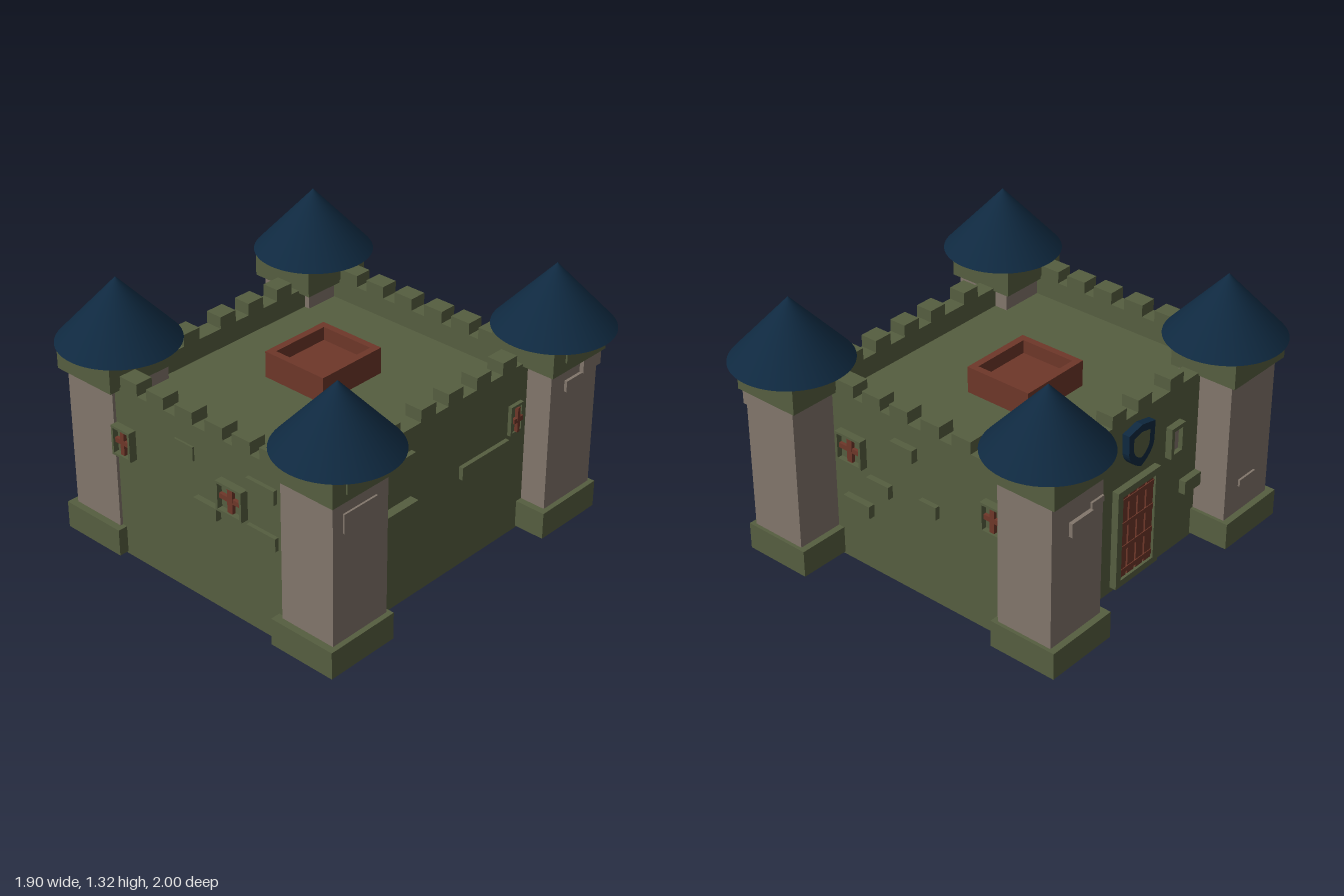
import * as THREE from 'three';

const mat = (name, color) => {
  const m = new THREE.MeshStandardMaterial({ color });
  m.name = name;
  return m;
};

export function createModel() {
  const green = mat('mossy stone', 0x565e40);
  const tan = mat('pale stone', 0x82766b);
  const red = mat('red wood', 0x6e3729);
  const blue = mat('blue slate', 0x0f2940);
  const root = new THREE.Group();
  root.name = 'castle';

  const group = (parent, name, x = 0, y = 0, z = 0, turn = 0) => {
    const g = new THREE.Group();
    g.name = name;
    g.position.set(x, y, z);
    g.rotation.y = turn;
    parent.add(g);
    return g;
  };
  // Box given by its lower and upper bounds
  const box = (parent, name, m, x0, x1, y0, y1, z0, z1) => {
    const mesh = new THREE.Mesh(new THREE.BoxGeometry(x1 - x0, y1 - y0, z1 - z0), m);
    mesh.position.set((x0 + x1) / 2, (y0 + y1) / 2, (z0 + z1) / 2);
    mesh.name = name;
    parent.add(mesh);
    return mesh;
  };
  // Four bars around a rectangle, facing +z
  const frame = (parent, name, m, x0, x1, y0, y1, t, depth) => {
    box(parent, name, m, x0, x0 + t, y0, y1, 0, depth);
    box(parent, name, m, x1 - t, x1, y0, y1, 0, depth);
    box(parent, name, m, x0 + t, x1 - t, y0, y0 + t, 0, depth);
    box(parent, name, m, x0 + t, x1 - t, y1 - t, y1, 0, depth);
  };

  // Keep
  const W = 0.655, ZF = 0.86, ZB = -0.64, T = 0.09, FLOOR = 0.78, WALL = 0.88;
  box(root, 'keepBody', green, -W, W, 0, FLOOR, ZB, ZF);
  const parapet = group(root, 'parapet');
  box(parapet, 'parapetFront', green, -W, W, FLOOR, WALL, ZF - T, ZF);
  box(parapet, 'parapetBack', green, -W, W, FLOOR, WALL, ZB, ZB + T);
  for (const s of [-1, 1]) {
    const a = s * W, b = s * (W - T);
    box(parapet, 'parapetSide', green, Math.min(a, b), Math.max(a, b), FLOOR, WALL, ZB + T, ZF - T);
  }

  // Merlons
  for (const x of [-0.495, -0.327, -0.148, 0.036, 0.2, 0.362]) {
    box(parapet, 'merlon', green, x, x + 0.107, WALL, 0.94, ZF - T, ZF);
    box(parapet, 'merlon', green, x, x + 0.107, WALL, 0.94, ZB, ZB + T);
  }
  for (const z of [0.316, 0.085, -0.095, -0.285, -0.465]) {
    box(parapet, 'merlon', green, W - T, W, WALL, 0.94, z, z + 0.097);
    box(parapet, 'merlon', green, -W, T - W, WALL, 0.94, z, z + 0.097);
  }

  // Roof hatch: an open wooden tray
  const hatch = group(root, 'roofHatch', -0.048, FLOOR, 0.043, 0);
  hatch.rotation.x = -Math.PI / 2;
  frame(hatch, 'hatchRim', red, -0.178, 0.178, -0.19, 0.19, 0.035, 0.132);
  box(hatch, 'hatchFloor', red, -0.143, 0.143, -0.155, 0.155, 0, 0.065);

  // Wall details are placed in wall space: u along the wall, +z outward
  const walls = {
    front: group(root, 'frontWallDetails', 0, 0, ZF, 0),
    right: group(root, 'sideWallDetails', W, 0, 0, Math.PI / 2),
    back: group(root, 'backWallDetails', 0, 0, ZB, Math.PI),
    left: group(root, 'doorWallDetails', -W, 0, 0, -Math.PI / 2),
  };
  const brick = (wall, u0, u1, y0, y1, d) => box(walls[wall], 'brick', green, u0, u1, y0, y1, -0.01, d);
  brick('front', -0.15, -0.035, 0.705, 0.775, 0.01);
  brick('front', 0.295, 0.46, 0.705, 0.775, 0.02);
  brick('front', -0.02, 0.12, 0.475, 0.54, 0.03);
  brick('front', 0.295, 0.465, 0.475, 0.54, 0.02);
  brick('right', -0.56, -0.24, 0.7, 0.77, 0.025);
  brick('right', -0.56, -0.24, 0.47, 0.535, 0.045);
  brick('right', 0.085, 0.41, 0.47, 0.535, 0.022);
  brick('back', -0.116, 0.016, 0.715, 0.78, 0.035);
  brick('back', -0.275, -0.14, 0.455, 0.52, 0.03);
  brick('back', 0.04, 0.14, 0.47, 0.535, 0.025);
  brick('back', -0.42, -0.26, 0.3, 0.365, 0.035);
  brick('left', 0.42, 0.54, 0.29, 0.36, 0.035);

  // Windows: stone frame with a wooden cross
  const addWindow = (wall, u0, u1, y0 = 0.547, y1 = 0.697, d = 0.04) => {
    const g = group(walls[wall], 'window');
    const u = (u0 + u1) / 2, y = (y0 + y1) / 2, w = (u1 - u0) * 0.1;
    frame(g, 'windowFrame', green, u0, u1, y0, y1, 0.012, d);
    box(g, 'windowPane', green, u0 + 0.012, u1 - 0.012, y0 + 0.012, y1 - 0.012, 0, 0.012);
    box(g, 'windowUpright', red, u - w, u + w, y0 + 0.012, y1 - 0.012, 0.005, 0.03);
    box(g, 'windowCrossbar', red, u0 + 0.012, u1 - 0.012, y - 0.012, y + 0.012, 0.005, 0.029);
  };
  addWindow('front', -0.53, -0.412);
  addWindow('front', 0.13, 0.285);
  addWindow('right', 0.42, 0.505, 0.547, 0.697, 0.02);
  addWindow('back', -0.45, -0.295);
  addWindow('back', 0.41, 0.53);

  // Narrow plaque beside the door
  frame(walls.left, 'plaqueFrame', green, 0.3, 0.4, 0.54, 0.7, 0.02, 0.035);
  box(walls.left, 'plaquePanel', tan, 0.32, 0.38, 0.56, 0.68, 0, 0.012);

  // Door with a wooden grille
  const door = group(walls.left, 'door');
  frame(door, 'doorFrame', green, -0.08, 0.225, 0.03, 0.55, 0.035, 0.035);
  box(door, 'doorBack', green, -0.045, 0.19, 0.065, 0.515, 0, 0.008);
  for (let i = 0; i < 4; i++) {
    const u = -0.045 + i * 0.0617;
    box(door, 'doorPlank', red, u, u + 0.05, 0.065, 0.515, 0.004, 0.022);
  }
  for (let i = 0; i < 4; i++) {
    const y = 0.085 + i * 0.127;
    box(door, 'doorRail', red, -0.045, 0.19, y, y + 0.025, 0.004, 0.026);
  }

  // Shield-shaped ring over the door
  const outline = (target, k) => {
    target.moveTo(-0.093 * k, 0.08 * k);
    target.lineTo(0, 0.1 * k);
    target.lineTo(0.093 * k, 0.08 * k);
    target.lineTo(0.09 * k, -0.02 * k);
    target.quadraticCurveTo(0.08 * k, -0.08 * k, 0, -0.115 * k);
    target.quadraticCurveTo(-0.08 * k, -0.08 * k, -0.09 * k, -0.02 * k);
    target.closePath();
    return target;
  };
  const shieldShape = outline(new THREE.Shape(), 1);
  shieldShape.holes.push(outline(new THREE.Path(), 0.62));
  const shield = new THREE.Mesh(
    new THREE.ExtrudeGeometry(shieldShape, { depth: 0.037, bevelEnabled: false, curveSegments: 8 }), blue);
  shield.name = 'shield';
  shield.position.set(0.072, 0.74, 0);
  walls.left.add(shield);

  // Corner towers
  const roofGeo = new THREE.ConeGeometry(0.287, 0.31, 64);
  for (const [sx, z] of [[-1, 0.71], [1, 0.71], [-1, -0.54], [1, -0.713]]) {
    const t = group(root, 'tower', sx * 0.663, 0, z);
    box(t, 'towerBase', green, -0.201, 0.153, 0.01, 0.147, -0.188, 0.2);
    box(t, 'towerShaft', tan, -0.168, 0.127, 0.147, 0.867, -0.17, 0.165);
    box(t, 'towerCap', green, -0.19, 0.162, 0.867, 1.005, -0.183, 0.204);
    const roof = new THREE.Mesh(roofGeo, blue);
    roof.name = 'towerRoof';
    roof.position.y = 1.16;
    t.add(roof);
  }

  // Loose stones on the outer tower faces
  box(root, 'towerBrick', tan, 0.78, 0.8, 0.69, 0.785, 0.615, 0.815);
  box(root, 'towerBrick', tan, 0.78, 0.805, 0.735, 0.79, -0.755, -0.645);
  box(root, 'towerBrick', tan, 0.78, 0.812, 0.79, 0.867, -0.883, -0.755);
  box(root, 'capBrick', green, 0.82, 0.834, 0.905, 0.96, 0.65, 0.835);
  box(root, 'capBrick', green, 0.82, 0.834, 0.915, 0.96, -0.78, -0.595);
  box(root, 'towerBrick', tan, -0.85, -0.82, 0.67, 0.74, -0.6, -0.46);
  box(root, 'towerBrick', tan, -0.842, -0.82, 0.74, 0.77, -0.46, -0.38);
  box(root, 'towerBrick', tan, -0.842, -0.82, 0.29, 0.325, 0.64, 0.76);

  return root;
}
